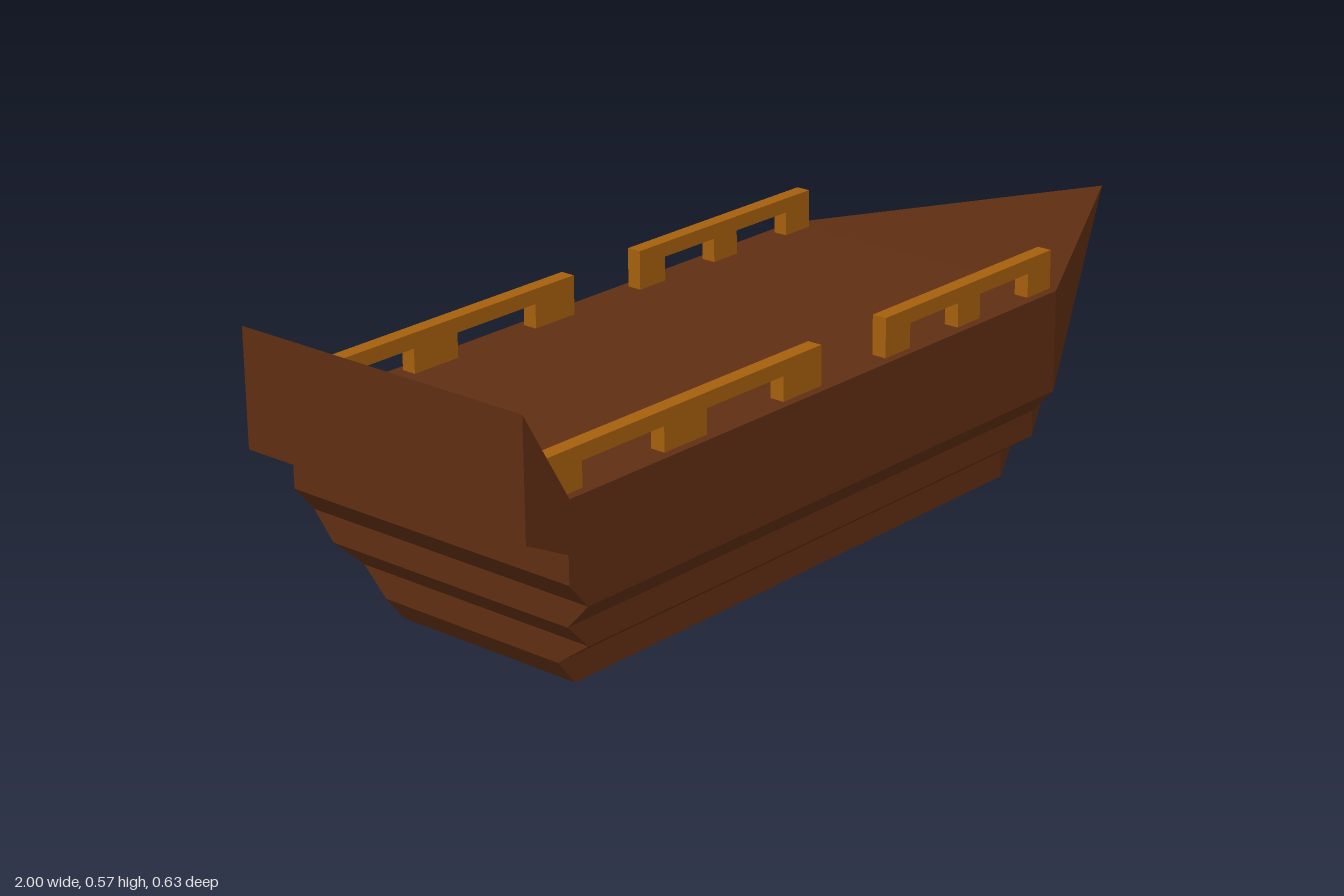
import * as THREE from 'three';

const wood = new THREE.MeshStandardMaterial({ color: 0x5f2e12, flatShading: true });
const railWood = new THREE.MeshStandardMaterial({ color: 0xa55f0c, flatShading: true });

// Stepped hull: each level is [y, stern x, half width left, half width right]
const LEVELS = [
  [0, -0.775, 0.2, 0.2],
  [0.05, -0.815, 0.2, 0.2],
  [0.1, -0.815, 0.27, 0.25],
  [0.15, -0.863, 0.27, 0.272],
  [0.2, -0.863, 0.316, 0.316],
  [0.25, -0.905, 0.316, 0.316],
  [0.3, -0.905, 0.316, 0.316],
  [0.396, -0.9, 0.316, 0.316],
];
const FORE_X = 0.4;
const TIP = [1, 0.391, 0];

function hullGeometry() {
  const pos = [];
  const tri = (...corners) => corners.forEach((c) => pos.push(...c));
  const quad = (a, b, c, d) => { tri(a, b, c); tri(a, c, d); };
  const rows = LEVELS.map(([y, x, l, r]) => ({
    sl: [x, y, l], sr: [x, y, -r], fl: [FORE_X, y, l], fr: [FORE_X, y, -r],
  }));
  for (let i = 0; i < rows.length - 1; i++) {
    const a = rows[i], b = rows[i + 1];
    quad(a.sl, a.fl, b.fl, b.sl);
    quad(a.fr, a.sr, b.sr, b.fr);
    quad(a.sr, a.sl, b.sl, b.sr);
    // bow planks converge on the tip
    tri(a.fl, TIP, b.fl);
    tri(TIP, a.fr, b.fr);
  }
  // bottom and deck
  const k = rows[0], d = rows[rows.length - 1];
  quad(k.sl, k.sr, k.fr, k.fl);
  tri(k.fl, k.fr, TIP);
  quad(d.sl, d.fl, d.fr, d.sr);
  tri(d.fl, TIP, d.fr);

  const geo = new THREE.BufferGeometry();
  geo.setAttribute('position', new THREE.Float32BufferAttribute(pos, 3));
  geo.computeVertexNormals();
  return geo;
}

// Side profile in x/y, extruded across z
function slab(name, points, z0, z1, material) {
  const shape = new THREE.Shape(points.map(([x, y]) => new THREE.Vector2(x, y)));
  const geo = new THREE.ExtrudeGeometry(shape, { depth: z1 - z0, bevelEnabled: false });
  geo.translate(0, 0, z0);
  const mesh = new THREE.Mesh(geo, material);
  mesh.name = name;
  return mesh;
}

// Rail outline with openings along its foot
function railOutline(footX, topX, endX, gaps) {
  const base = 0.396, lintel = 0.442, top = 0.47;
  const pts = [[footX, base]];
  for (const [a, b] of gaps) pts.push([a, base], [a, lintel], [b, lintel], [b, base]);
  pts.push([endX, base], [endX, top], [topX, top]);
  return pts;
}

export function createModel() {
  const ship = new THREE.Group();
  ship.name = 'ship';

  const hull = new THREE.Mesh(hullGeometry(), wood);
  hull.name = 'hull';
  ship.add(hull);

  // raised, overhanging stern board
  ship.add(slab('sternBoard', [[-0.9, 0.3], [-0.9, 0.396], [-1, 0.567], [-1, 0.35]], -0.316, 0.316, wood));

  // railings on both sides; the aft ones lean against the stern board
  const aft = railOutline(-0.9, -0.944, -0.258, [[-0.852, -0.658], [-0.553, -0.358]]);
  const fore = railOutline(-0.082, -0.082, 0.404, [[-0.013, 0.125], [0.19, 0.335]]);
  for (const [side, z0, z1] of [['left', 0.27, 0.299], ['right', -0.301, -0.272]]) {
    ship.add(slab(side + 'AftRail', aft, z0, z1, railWood));
    ship.add(slab(side + 'ForeRail', fore, z0, z1, railWood));
  }
  return ship;
}
